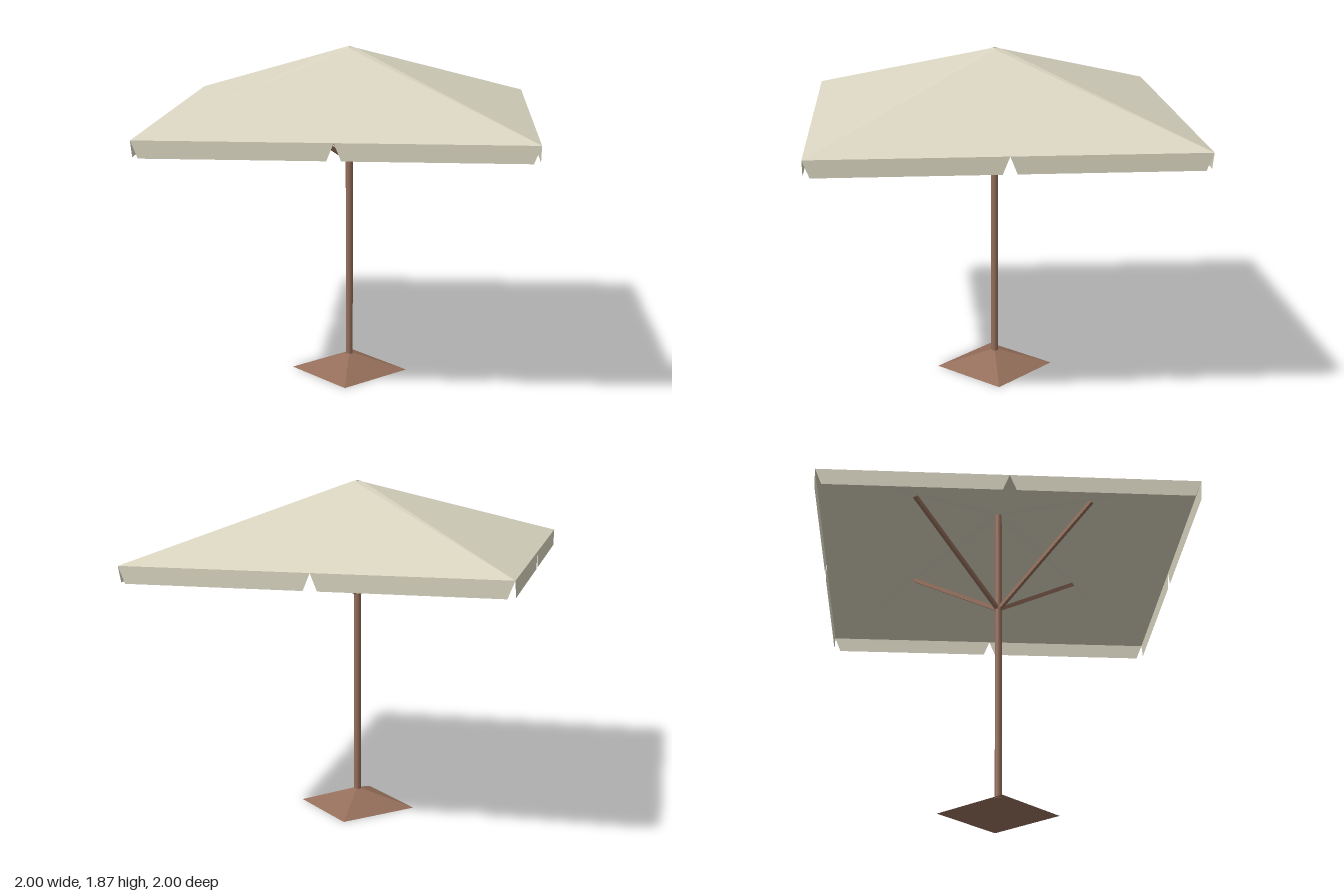
import * as THREE from 'three';

const canvas = new THREE.MeshStandardMaterial({ color: 0xd9d4c0, side: THREE.DoubleSide });
canvas.name = 'cream canvas';
const wood = new THREE.MeshStandardMaterial({ color: 0x946e5a, side: THREE.DoubleSide });
wood.name = 'brown wood';

const EAVE = 1.505, HEM = 1.415, TOP = 1.87;

// Flat-shaded geometry from a list of triangles
function facets(triangles) {
  const g = new THREE.BufferGeometry();
  g.setAttribute('position', new THREE.Float32BufferAttribute(triangles.flat(2), 3));
  g.computeVertexNormals();
  return g;
}

// One quarter of the roof: a main panel, the ridge strip and the peak collar
function roofQuarter() {
  const r = 0.035, s = 0.01, y = 1.862;
  const left = [-1, EAVE, 1], right = [1, EAVE, 1];
  const front = [0, y, r], side = [r, y, 0];
  const tipFront = [0, TOP, s], tipSide = [s, TOP, 0];
  return facets([
    [left, right, front],
    [right, side, front],
    [front, side, tipSide],
    [front, tipSide, tipFront],
  ]);
}

// Hanging flap along half of one edge, tapered at both ends
function flapGeometry() {
  const n = 0.036;
  const shape = new THREE.Shape();
  shape.moveTo(0, EAVE);
  shape.lineTo(n, HEM);
  shape.lineTo(1 - n, HEM);
  shape.lineTo(1, EAVE);
  shape.closePath();
  return new THREE.ShapeGeometry(shape);
}

function addMesh(parent, name, geometry, material) {
  const mesh = new THREE.Mesh(geometry, material);
  mesh.name = name;
  parent.add(mesh);
  return mesh;
}

export function createModel() {
  const model = new THREE.Group();
  model.name = 'parasol';

  // Pyramid foot, open underneath, corners on the axes
  const foot = new THREE.CylinderGeometry(0.005, 0.33, 0.1, 4, 1, true).toNonIndexed();
  foot.computeVertexNormals();
  addMesh(model, 'base', foot, wood).position.y = 0.05;

  // Pole
  const poleHeight = 1.862 - 0.09;
  addMesh(model, 'pole', new THREE.CylinderGeometry(0.02, 0.02, poleHeight, 12), wood)
    .position.y = 0.09 + poleHeight / 2;

  // Canopy quarters with their flaps, and one diagonal strut each
  const roof = roofQuarter();
  const flap = flapGeometry();
  const from = new THREE.Vector3(0, 1.235, 0);
  const to = new THREE.Vector3(0.49, 1.675, 0);
  const span = to.clone().sub(from);
  const strutGeometry = new THREE.BoxGeometry(span.length(), 0.02, 0.02);
  strutGeometry.rotateZ(Math.atan2(span.y, span.x));
  strutGeometry.translate(0.245, (from.y + to.y) / 2, 0);
  // stretch outwards so the strut reaches the roof along its diagonal
  strutGeometry.scale(Math.SQRT2, 1, 1);
  strutGeometry.rotateY(-Math.PI / 4);
  strutGeometry.computeVertexNormals();

  for (let i = 0; i < 4; i++) {
    const quarter = new THREE.Group();
    quarter.name = 'canopyQuarter';
    quarter.rotation.y = (i * Math.PI) / 2;
    addMesh(quarter, 'roofPanel', roof, canvas);
    for (const x of [-1, 0]) addMesh(quarter, 'flap', flap, canvas).position.set(x, 0, 1);
    addMesh(quarter, 'strut', strutGeometry, wood);
    model.add(quarter);
  }
  return model;
}
